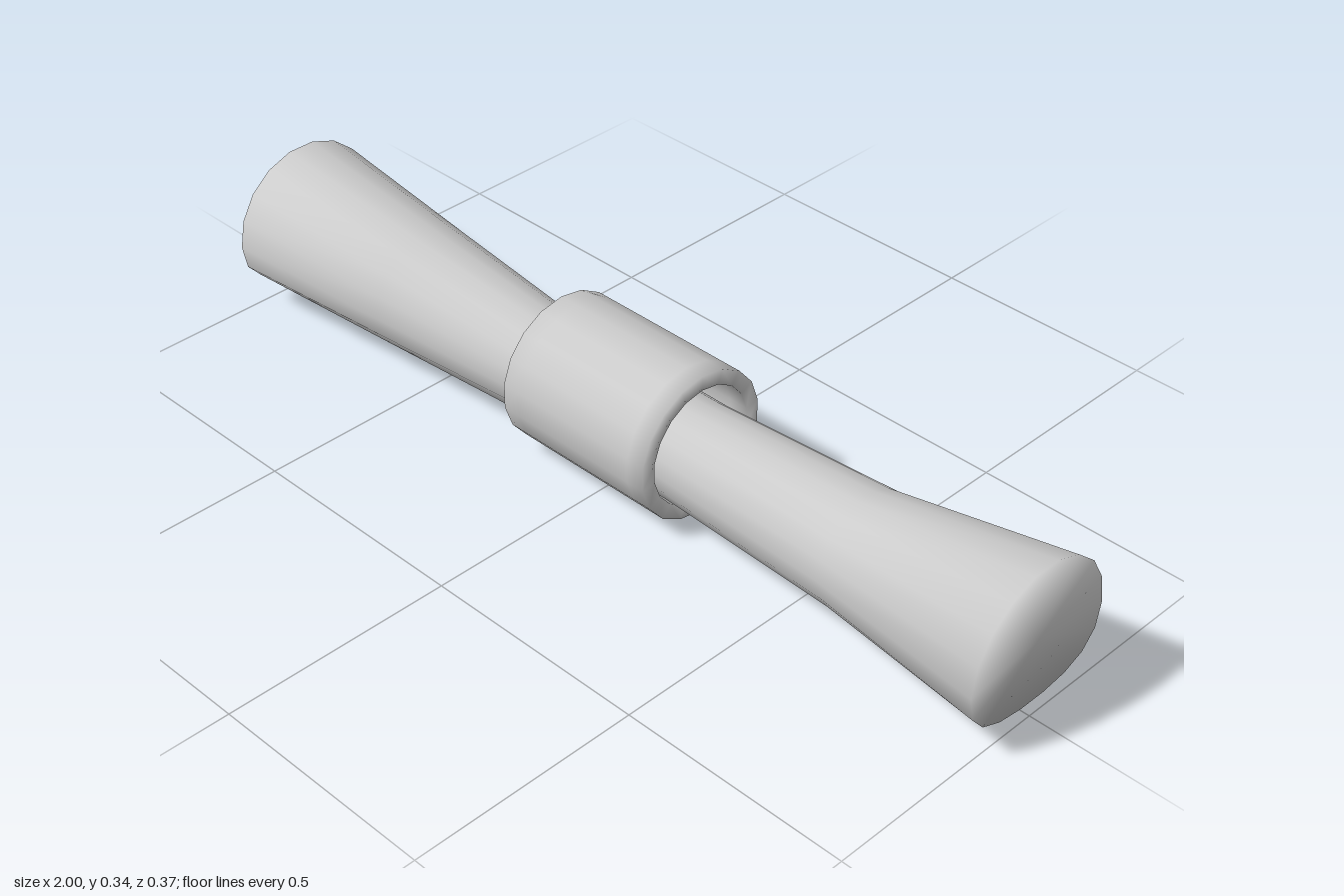
import * as THREE from 'three';

const SIDES = 18;

// Rod: round sections lofted along x, smooth over the end caps
function rodGeometry() {
  // x, centre height, radius, lowest point
  const sections = [
    [-1, 0.158, 0.178, 0.045],
    [-0.6, 0.15, 0.143, 0.042],
    [-0.2, 0.145, 0.108, 0.038],
    [0.18, 0.145, 0.107, 0.038],
    [0.6, 0.147, 0.126, 0.038],
    [1, 0.158, 0.183, 0.037],
  ];
  const pos = [], index = [];
  for (const [x, cy, r, low] of sections) {
    const flat = 1 - (cy - low) / r; // how much the underside is flattened
    for (let i = 0; i < SIDES; i++) {
      const a = (i / SIDES) * Math.PI * 2;
      const s = Math.sin(a);
      const y = cy + r * s * (s < 0 ? 1 + flat * s : 1);
      pos.push(x, y, r * Math.cos(a) - 0.002);
    }
  }
  const last = (sections.length - 1) * SIDES;
  const capA = pos.length / 3, capB = capA + 1;
  pos.push(-1, 0.18, 0, 1, 0.18, 0);
  for (let i = 0; i < SIDES; i++) {
    const j = (i + 1) % SIDES;
    for (let o = 0; o < last; o += SIDES) {
      const n = o + SIDES;
      index.push(o + i, n + i, n + j, o + i, n + j, o + j);
    }
    index.push(capA, i, j, capB, last + j, last + i);
  }
  const geo = new THREE.BufferGeometry();
  geo.setAttribute('position', new THREE.Float32BufferAttribute(pos, 3));
  geo.setIndex(index);
  geo.computeVertexNormals();
  return geo;
}

// Sleeve: hollow tube with softly shaded rims, turned about the x axis
function sleeveGeometry() {
  const inner = 0.128, outer = 0.16, half = 0.192, edge = 0.15;
  const profile = [
    [inner, 0], [inner, -edge], [inner, -half], [outer, -half], [outer, -edge],
    [outer, edge], [outer, half], [inner, half], [inner, edge], [inner, 0],
  ].map(([r, y]) => new THREE.Vector2(r, y));
  return new THREE.LatheGeometry(profile, SIDES, Math.PI / 2).rotateZ(-Math.PI / 2);
}

export function createModel() {
  const group = new THREE.Group();
  const material = new THREE.MeshStandardMaterial({ color: 0xcccccc });

  const rod = new THREE.Mesh(rodGeometry(), material);
  rod.name = 'flaredRod';

  const sleeve = new THREE.Mesh(sleeveGeometry(), material);
  sleeve.name = 'middleSleeve';
  sleeve.position.set(-0.008, 0.163, -0.008);

  group.add(rod, sleeve);
  return group;
}
